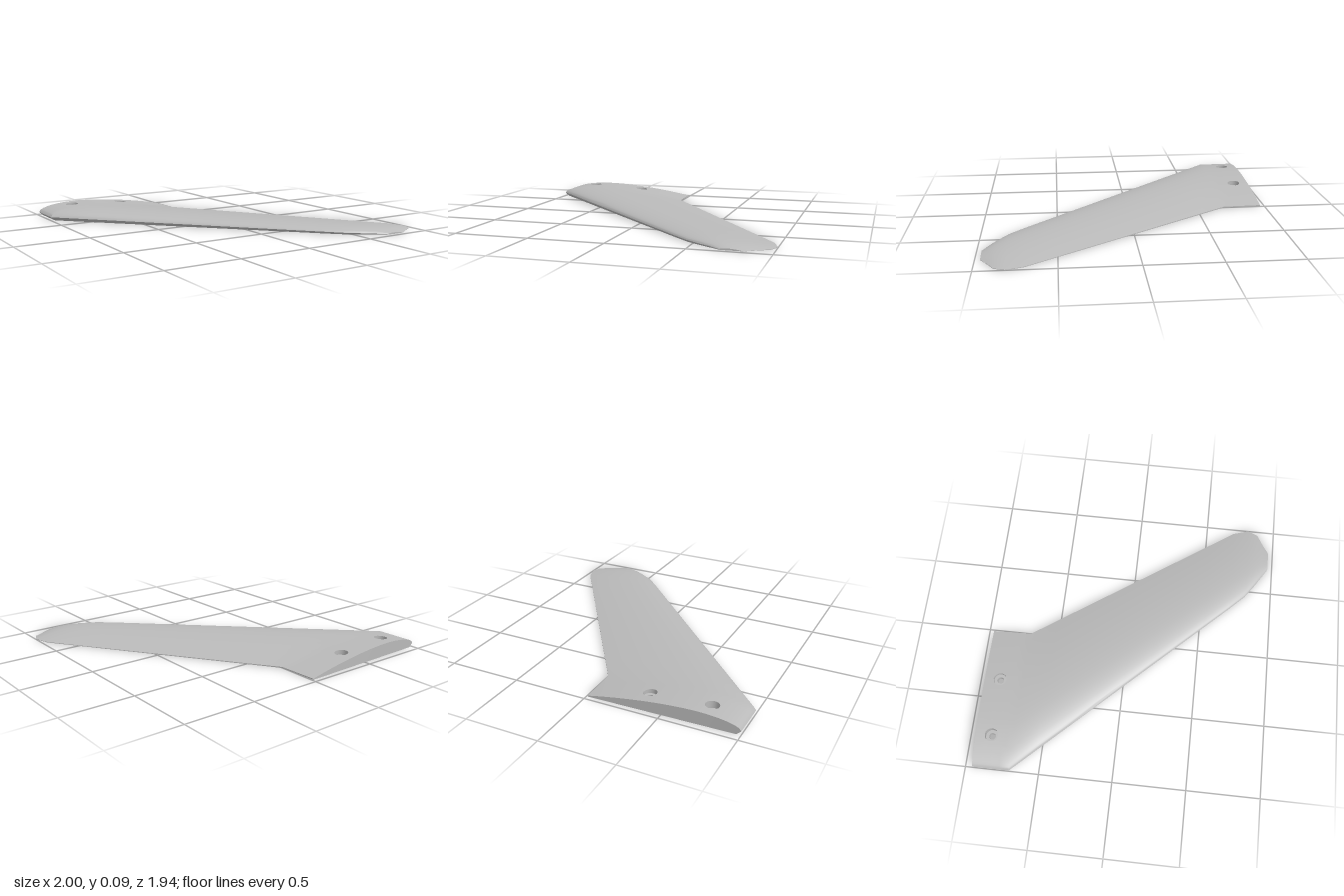
import * as THREE from 'three';
import { toCreasedNormals } from 'three/addons/utils/BufferGeometryUtils.js';

// Span stations: [z, leading edge x, trailing edge x, thickness]
const STATIONS = [
  [-0.97, -1, -0.01, 0.088], [-0.7, -1, 0, 0.084], [0.7, 0.34, 0.965, 0.047],
  [0.81, 0.45, 1, 0.042], [0.88, 0.55, 0.97, 0.034], [0.92, 0.615, 0.9, 0.026],
  [0.967, 0.69, 0.83, 0.011],
];
const ROOT_END = -0.7;
const HOLES = [
  { t: 0.22, z: -0.845, t0: 0.14, t1: 0.30 },
  { t: 0.623, z: -0.855, t0: 0.543, t1: 0.703 },
];
const OUTER = 0.045, INNER = 0.023, FLOOR = 0.035, N = 4;

const lerp = THREE.MathUtils.lerp;
const rootZ = (t) => -0.948 - 0.022 * t;
const steps = (a, b, n) => Array.from({ length: n + 1 }, (_, i) => lerp(a, b, i / n));

function station(z) {
  let i = 0;
  while (i < STATIONS.length - 2 && z > STATIONS[i + 1][0]) i++;
  const a = STATIONS[i], b = STATIONS[i + 1], k = (z - a[0]) / (b[0] - a[0]);
  return { le: lerp(a[1], b[1], k), te: lerp(a[2], b[2], k), h: lerp(a[3], b[3], k) };
}

// Airfoil: blunt raised nose, crest at 30% chord, thin trailing edge
const airfoil = (t) => t < 0.3
  ? 0.3 + 0.7 * Math.sqrt(1 - ((0.3 - t) / 0.3) ** 2)
  : 1 - 0.92 * ((t - 0.3) / 0.7) ** 1.7;

function top(t, z) {
  const s = station(z);
  return [lerp(s.le, s.te, t), s.h * airfoil(t), z];
}

function bottom(t, z) {
  const s = station(z);
  return [lerp(s.le + 0.34 * s.h, s.te, t), 0, z];
}

// Triangles between rows of points
function sheet(rows) {
  const out = [];
  for (let i = 0; i < rows.length - 1; i++) {
    for (let j = 0; j < rows[i].length - 1; j++) {
      const a = rows[i][j], b = rows[i][j + 1], c = rows[i + 1][j + 1], d = rows[i + 1][j];
      out.push(...a, ...b, ...c, ...a, ...c, ...d);
    }
  }
  return out;
}

function makeMesh(name, positions, material) {
  const geometry = new THREE.BufferGeometry();
  geometry.setAttribute('position', new THREE.Float32BufferAttribute(positions, 3));
  const mesh = new THREE.Mesh(toCreasedNormals(geometry, 0.6), material);
  mesh.name = name;
  return mesh;
}

// Circle around a hole, as [t, z] pairs
const circle = (hole, r) => Array.from({ length: 4 * N + 1 }, (_, j) => {
  const a = -Math.PI / 4 + ((j % (4 * N)) / (4 * N)) * Math.PI * 2;
  return [hole.t + r * Math.cos(a), hole.z - r * Math.sin(a)];
});

// Border of the patch around a hole, walked in the same order
function border({ t0, t1 }) {
  const pts = [], at = (t, k) => [t, lerp(ROOT_END, rootZ(t), k)];
  for (let j = 0; j < N; j++) pts.push(at(t1, j / N));
  for (let j = 0; j < N; j++) pts.push(at(lerp(t1, t0, j / N), 1));
  for (let j = 0; j < N; j++) pts.push(at(t0, 1 - j / N));
  for (let j = 0; j <= N; j++) pts.push(at(lerp(t0, t1, j / N), 0));
  return pts;
}

export function createModel() {
  const group = new THREE.Group();
  group.name = 'wing';
  const grey = new THREE.MeshStandardMaterial({ color: 0xbababa });
  grey.name = 'light grey';

  const [h1, h2] = HOLES;
  const front = [0, 0.01, 0.02, 0.035, 0.05, 0.075, 0.1, h1.t0];
  const middle = steps(h1.t1, h2.t0, N);
  const rear = steps(h2.t1, 1, 5);
  const ts = [...front, ...steps(h1.t0, h1.t1, N).slice(1), ...middle.slice(1),
    ...steps(h2.t0, h2.t1, N).slice(1), ...rear.slice(1)];
  const outerZ = [...steps(ROOT_END, 0.7, 8), ...STATIONS.slice(3).map((s) => s[0])];

  // Upper skin: outer panel, solid root panels, patches around the holes
  const skin = sheet(ts.map((t) => outerZ.map((z) => top(t, z))));
  for (const panel of [front, middle, rear]) {
    skin.push(...sheet(panel.map((t) => steps(rootZ(t), ROOT_END, N).map((z) => top(t, z)))));
  }
  for (const hole of HOLES) {
    const outer = border(hole), rim = circle(hole, OUTER);
    skin.push(...sheet(steps(0, 1, 3).map((k) => outer.map((p, j) =>
      top(lerp(p[0], rim[j][0], k), lerp(p[1], rim[j][1], k))))));
  }
  group.add(makeMesh('upperSkin', skin, grey));

  // Counterbored screw holes
  HOLES.forEach((hole, i) => {
    const ring = (r, y) => circle(hole, r).map(([t, z]) => {
      const p = top(t, z);
      return [p[0], y ?? p[1], z];
    });
    const rows = [ring(OUTER), ring(OUTER, FLOOR), ring(INNER, FLOOR), ring(INNER, 0)];
    group.add(makeMesh(`screwHole${i + 1}`, sheet(rows), grey));
  });

  // Edges: undercut nose, trailing edge, root face, tip face
  const along = (f, t) => [rootZ(t), ...outerZ].map((z) => f(t, z));
  const across = (f, zOf) => ts.map((t) => f(t, zOf(t)));
  const tipZ = () => STATIONS[STATIONS.length - 1][0];
  group.add(makeMesh('leadingEdge', sheet([along(bottom, 0), along(top, 0)]), grey));
  group.add(makeMesh('trailingEdge', sheet([along(top, 1), along(bottom, 1)]), grey));
  group.add(makeMesh('rootFace', sheet([across(top, rootZ), across(bottom, rootZ)]), grey));
  group.add(makeMesh('tipFace', sheet([across(bottom, tipZ), across(top, tipZ)]), grey));

  // Flat underside with the through holes
  const outline = [...along(bottom, 0), ...along(bottom, 1).reverse()];
  const shape = new THREE.Shape(outline.map((p) => new THREE.Vector2(p[0], p[2])));
  for (const hole of HOLES) {
    const path = new THREE.Path();
    path.absarc(top(hole.t, hole.z)[0], hole.z, INNER, 0, Math.PI * 2);
    shape.holes.push(path);
  }
  const underside = new THREE.Mesh(new THREE.ShapeGeometry(shape, 8).rotateX(Math.PI / 2), grey);
  underside.name = 'underside';
  group.add(underside);

  return group;
}
